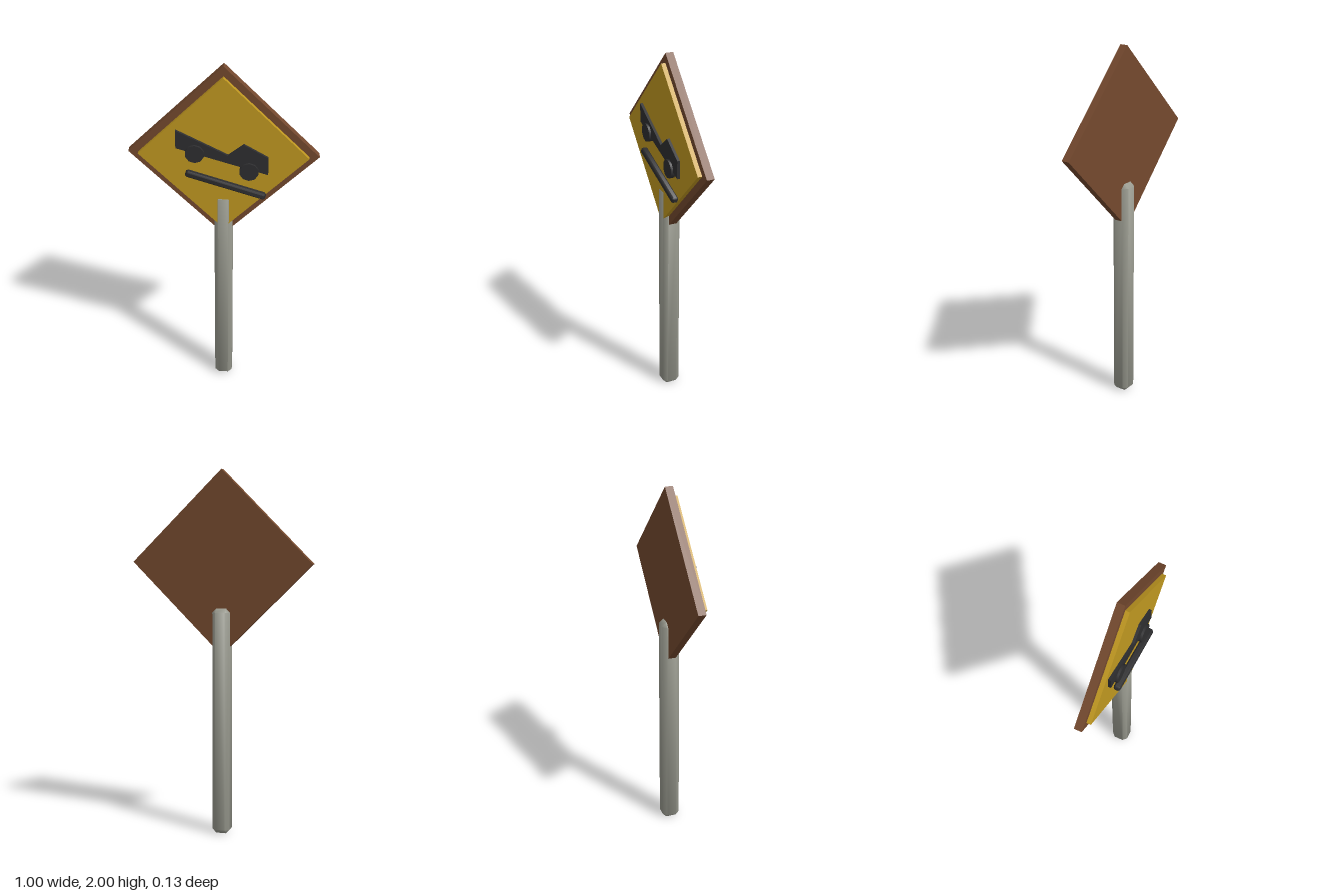
import * as THREE from 'three';
import { toCreasedNormals } from 'three/addons/utils/BufferGeometryUtils.js';
import { ConvexGeometry } from 'three/addons/geometries/ConvexGeometry.js';

const material = (name, color) => Object.assign(new THREE.MeshStandardMaterial({ color }), { name });

// Box with chamfered edges and softened normals, from half sizes and chamfer width
function chamferBox(hx, hy, hz, b) {
  const points = [];
  for (const sx of [-1, 1]) for (const sy of [-1, 1]) for (const sz of [-1, 1]) {
    points.push(
      new THREE.Vector3(sx * hx, sy * (hy - b), sz * (hz - b)),
      new THREE.Vector3(sx * (hx - b), sy * hy, sz * (hz - b)),
      new THREE.Vector3(sx * (hx - b), sy * (hy - b), sz * hz),
    );
  }
  return toCreasedNormals(new ConvexGeometry(points), 1);
}

export function createModel() {
  const group = new THREE.Group();
  const steel = material('post grey', 0x9a9b90);
  const brown = material('board brown', 0x74492e);
  const yellow = material('sign yellow', 0xc09820);
  const black = material('symbol black', 0x2e2e30);

  const add = (name, geometry, mat, x, y, z, tilt = 0) => {
    const mesh = new THREE.Mesh(geometry, mat);
    mesh.name = name;
    mesh.position.set(x, y, z);
    mesh.rotation.z = tilt;
    group.add(mesh);
  };

  // Post, running up into the board
  add('post', chamferBox(0.049, 0.6275, 0.049, 0.022), steel, 0, 0.6275, -0.017);

  // Diamond boards: square plates turned by 45 degrees
  const diamond = (name, halfDiagonal, back, front, mat) => {
    const side = halfDiagonal * Math.SQRT2;
    add(name, new THREE.BoxGeometry(side, side, front - back), mat, 0, 1.5, (back + front) / 2, Math.PI / 4);
  };
  diamond('backBoard', 0.5, -0.038, 0.005, brown);
  diamond('signFace', 0.447, 0.005, 0.029, yellow);

  // Truck silhouette heading downhill
  const body = new THREE.Shape([
    [-0.247, 1.548], [0.236, 1.405], [0.236, 1.505], [0.108, 1.579], [0.026, 1.513], [-0.247, 1.651],
  ].map(([x, y]) => new THREE.Vector2(x, y)));
  add('truckBody', new THREE.ExtrudeGeometry(body, { depth: 0.018, bevelEnabled: false }), black, 0, 0, 0.026);

  // Wheels
  for (const [name, x, y] of [['rearWheel', -0.148, 1.521], ['frontWheel', 0.136, 1.424]]) {
    const wheel = new THREE.CylinderGeometry(0.051, 0.051, 0.028, 10).rotateX(Math.PI / 2);
    add(name, toCreasedNormals(wheel, 0.8), black, x, y, 0.042);
  }

  // Sloping road bar
  add('roadBar', chamferBox(0.22, 0.018, 0.018, 0.009), black, 0.014, 1.341, 0.048, -0.3);

  return group;
}
